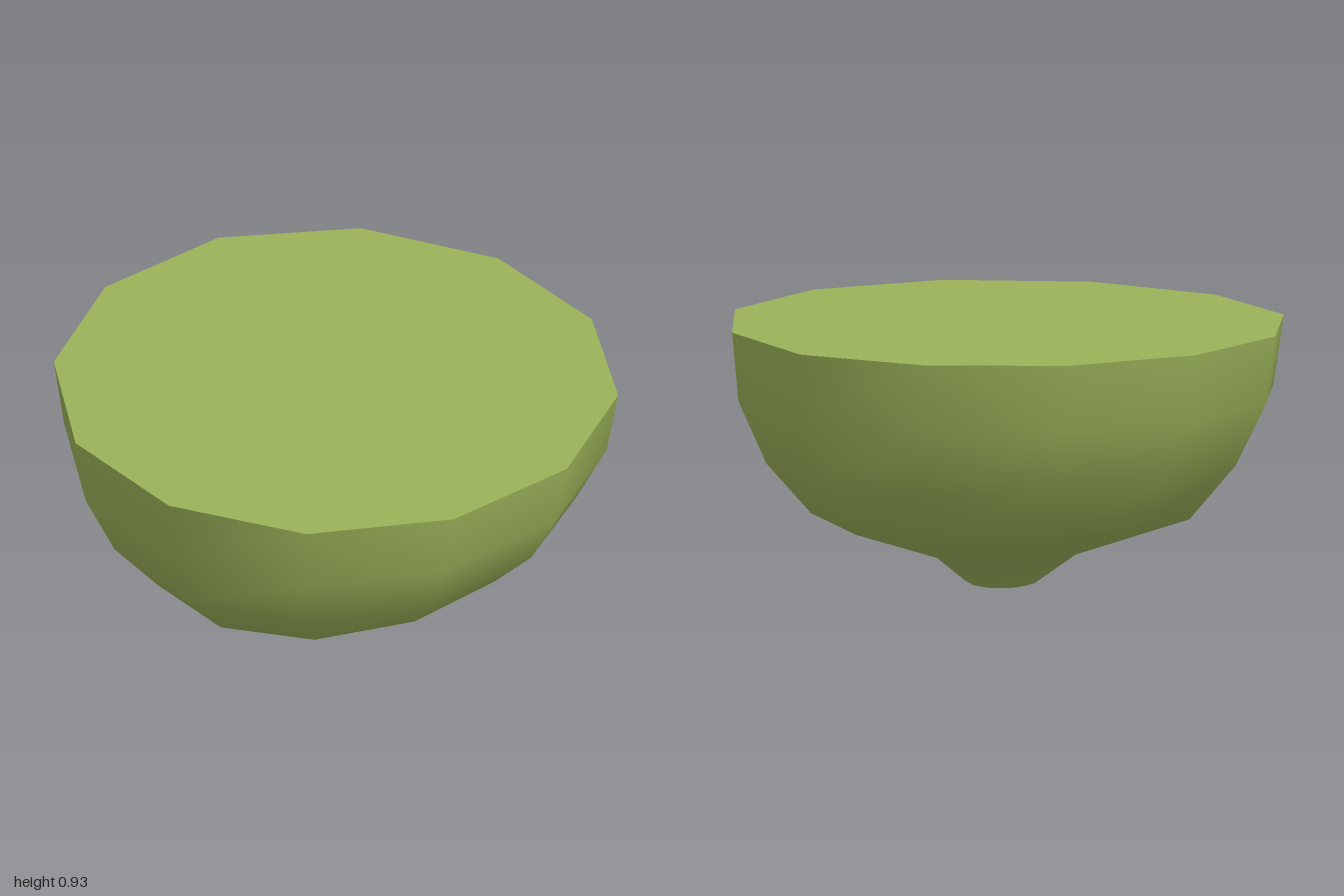
import * as THREE from 'three';

const SIDES = 12;

// One ring: radii rx/rz around centre x, height y with a slight tilt and bow along z
function ring({ cx, rx, rz, y, tilt, bow }) {
  return Array.from({ length: SIDES }, (_, i) => {
    const a = (i / SIDES) * Math.PI * 2;
    const s = Math.sin(a);
    return [cx + rx * Math.cos(a), y + tilt * s + bow * s * s, rz * s];
  });
}

// Indexed skin between successive rings (bottom to top), smooth shaded
function skin(rings) {
  const index = [];
  for (let r = 0; r < rings.length - 1; r++) {
    for (let i = 0; i < SIDES; i++) {
      const j = (i + 1) % SIDES;
      const a = r * SIDES + i, b = r * SIDES + j;
      index.push(a, a + SIDES, b, b, a + SIDES, b + SIDES);
    }
  }
  return build(rings.flat(), index);
}

// Fan from a centre point to a ring, facing up or down
function cap(points, centre, up) {
  const index = [];
  for (let i = 0; i < SIDES; i++) {
    const a = i + 1, b = ((i + 1) % SIDES) + 1;
    index.push(0, ...(up ? [b, a] : [a, b]));
  }
  return build([centre, ...points], index);
}

function build(points, index) {
  const geometry = new THREE.BufferGeometry();
  geometry.setAttribute('position', new THREE.Float32BufferAttribute(points.flat(), 3));
  geometry.setIndex(index);
  geometry.computeVertexNormals();
  return geometry;
}

export function createModel() {
  const green = new THREE.MeshStandardMaterial({ color: 0x9bb259 });
  green.name = 'leafGreen';
  const brown = new THREE.MeshStandardMaterial({ color: 0x4a2a18 });
  brown.name = 'darkBrown';

  // Profile from the narrow neck to the wide rim
  const rings = [
    { cx: 0.035, rx: 0.095, rz: 0.095, y: 0.006, tilt: 0.004, bow: 0.003 },
    { cx: 0.037, rx: 0.128, rz: 0.125, y: 0.015, tilt: 0.01, bow: 0.01 },
    { cx: 0.025, rx: 0.275, rz: 0.265, y: 0.118, tilt: 0.02, bow: 0.027 },
    { cx: 0.022, rx: 0.698, rz: 0.678, y: 0.252, tilt: 0.03, bow: 0.052 },
    { cx: 0.017, rx: 0.863, rz: 0.843, y: 0.445, tilt: 0.015, bow: 0.04 },
    { cx: 0.01, rx: 0.965, rz: 0.955, y: 0.68, tilt: 0.005, bow: 0.015 },
    { cx: 0.0, rx: 0.987, rz: 1.0, y: 0.925, tilt: 0, bow: 0.008 },
  ].map(ring);

  // Rim corners sit slightly off the ellipse
  const rim = rings[rings.length - 1];
  for (const p of rim) if (Math.abs(p[0]) < 0.6) p[0] += 0.014;
  rim[0][1] -= 0.004;

  const group = new THREE.Group();
  group.name = 'bowlShape';
  const add = (name, geometry, material) => {
    const mesh = new THREE.Mesh(geometry, material);
    mesh.name = name;
    group.add(mesh);
  };

  add('shell', skin(rings), green);
  add('flatTop', cap(rim, [0, 0.932, 0], true), green);
  add('stemEnd', cap(rings[0], [0.035, 0, 0], false), brown);
  return group;
}
